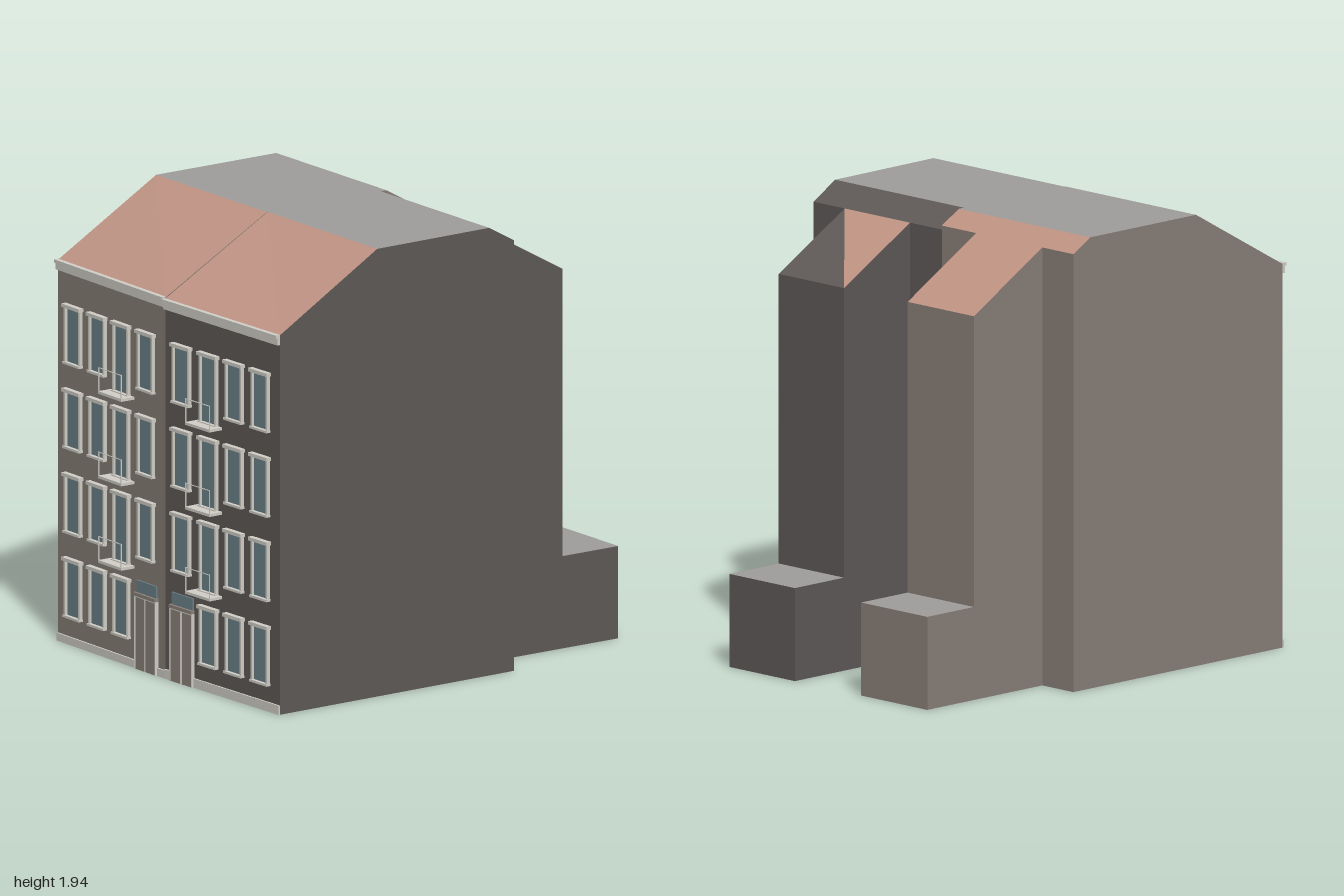
import * as THREE from 'three';

const mat = (name, color) => Object.assign(new THREE.MeshStandardMaterial({ color }), { name });

export function createModel() {
  const taupe = mat('taupe wall', 0x8a8078);
  const dark = mat('dark wall', 0x5f5a58);
  const tile = mat('salmon roof tile', 0xc09484);
  const flat = mat('grey flat roof', 0xa09e9c);
  const glass = mat('window glass', 0x6c838b);
  const trim = mat('off-white trim', 0xd2d0c8);
  const door = mat('door taupe', 0x8d837a);

  const model = new THREE.Group();
  model.name = 'terracedHouses';

  // Solid from a [z, y, zRight] profile running up the front, over the top and down the back.
  // skins holds one material (or a pair, one per triangle) for each profile edge.
  function solid(name, profile, x0, xRight, skins, capSkin) {
    const pos = [], mats = [], geo = new THREE.BufferGeometry();
    const L = profile.map(([z, y]) => [x0, y, z]);
    const R = profile.map(([z, y, zr = z]) => [xRight(z), y, zr]);
    const tri = (m, ...p) => {
      if (!mats.includes(m)) mats.push(m);
      geo.addGroup(pos.length / 3, 3, mats.indexOf(m));
      pos.push(...p.flat());
    };
    profile.forEach((_, i) => {
      const j = (i + 1) % profile.length;
      const [m, n] = [skins[i] ?? capSkin].flat().concat(skins[i] ?? capSkin);
      tri(m, L[i], R[i], L[j]);
      tri(n, R[i], R[j], L[j]);
      if (i > 0 && j > 0) {
        tri(capSkin, L[0], L[i], L[j]);
        tri(capSkin, R[0], R[j], R[i]);
      }
    });
    geo.setAttribute('position', new THREE.Float32BufferAttribute(pos, 3));
    geo.computeVertexNormals();
    const mesh = new THREE.Mesh(geo, mats);
    mesh.name = name;
    model.add(mesh);
  }

  // Main blocks: the front bends slightly at the party wall
  solid('leftHouse',
    [[0.915, 0, 0.932], [0.915, 1.65, 0.932], [0.405, 1.94], [-0.22, 1.94], [-0.32, 1.883], [-0.32, 0]],
    -0.785, () => 0, [taupe, tile, flat, tile, taupe, taupe], taupe);
  solid('rightHouse',
    [[0.932, 0, 0.912], [0.932, 1.645, 0.912], [0.4, 1.94], [-0.19, 1.94], [-0.32, 1.866], [-0.32, 0]],
    0, z => 0.766 + 0.02 * (z + 0.32) / 1.25, [dark, tile, flat, dark, dark, dark], dark);

  // Rear wings and their low annexes
  solid('leftWing', [[-0.32, 0], [-0.32, 1.883], [-0.725, 1.65], [-0.725, 0]],
    -0.6, () => -0.205, [taupe, tile, taupe, taupe], taupe);
  solid('leftAnnex', [[-0.725, 0], [-0.725, 0.4], [-1, 0.4], [-1, 0]],
    -0.6, () => -0.205, [taupe, flat, taupe, taupe], taupe);
  solid('rightWing', [[-0.32, 0], [-0.32, 1.866], [-0.71, 1.645], [-0.71, 0]],
    0.19, () => 0.58, [dark, [tile, dark], dark, dark], dark);
  solid('rightAnnex', [[-0.71, 0], [-0.71, 0.4], [-1, 0.4], [-1, 0]],
    0.19, () => 0.58, [dark, flat, dark, dark], dark);

  // Box standing on the facade plane: centre x, bottom y, back z
  function box(parent, name, m, x, y, w, h, d, z = 0) {
    const mesh = new THREE.Mesh(new THREE.BoxGeometry(w, h, d), m);
    mesh.position.set(x, y + h / 2, z + d / 2);
    mesh.name = name;
    parent.add(mesh);
  }

  function windowUnit(parent, x, y0, y1) {
    const g = new THREE.Group();
    g.name = 'window';
    const h = y1 - y0;
    box(g, 'pane', glass, x, y0, 0.1, h, 0.005);
    for (const s of [-1, 1]) box(g, 'jamb', trim, x + s * 0.052, y0, 0.01, h, 0.016);
    box(g, 'lintel', trim, x, y1 - 0.008, 0.128, 0.015, 0.024);
    box(g, 'sill', trim, x, y0 - 0.008, 0.12, 0.01, 0.022);
    parent.add(g);
  }

  function balcony(parent, x, y) {
    const g = new THREE.Group();
    g.name = 'balcony';
    box(g, 'slab', trim, x, y, 0.168, 0.012, 0.068);
    for (const s of [-1, 1]) box(g, 'post', trim, x + s * 0.082, y, 0.004, 0.115, 0.004, 0.064);
    box(g, 'rail', trim, x, y + 0.112, 0.168, 0.003, 0.004, 0.064);
    parent.add(g);
  }

  function doorway(parent, x) {
    const g = new THREE.Group();
    g.name = 'doorway';
    for (const s of [-1, 1]) {
      box(g, 'leaf', door, x + s * 0.038, 0, 0.074, 0.315, 0.012);
      box(g, 'doorEdge', trim, x + s * 0.075, 0, 0.005, 0.318, 0.016);
      box(g, 'meetingStile', trim, x + s * 0.004, 0, 0.004, 0.315, 0.014);
    }
    box(g, 'doorHead', trim, x, 0.313, 0.155, 0.006, 0.016);
    box(g, 'transomBar', door, x, 0.319, 0.155, 0.014, 0.02);
    box(g, 'transom', glass, x, 0.333, 0.145, 0.052, 0.008);
    parent.add(g);
  }

  // Facades: each hinged at the bend on x = 0
  const facades = [
    { name: 'leftFacade', s: -1, drop: 0.017, cols: [-0.665, -0.487, -0.312, -0.133], bal: 2, doorCol: 3, doorX: -0.13, dy: 0, cornice: 1.61, plinth: 0.034 },
    { name: 'rightFacade', s: 1, drop: 0.02, cols: [0.12, 0.305, 0.482, 0.66], bal: 1, doorCol: 0, doorX: 0.123, dy: -0.006, cornice: 1.602, plinth: 0.04 },
  ];
  for (const f of facades) {
    const g = new THREE.Group();
    g.name = f.name;
    g.position.z = 0.932;
    g.rotation.y = f.s * Math.atan2(f.drop, 0.785);
    for (let floor = 0; floor < 4; floor++) {
      const y0 = 0.125 + floor * 0.366 + f.dy, y1 = y0 + 0.245;
      f.cols.forEach((x, i) => {
        const hasBalcony = floor > 0 && i === f.bal;
        if (floor === 0 && i === f.doorCol) return;
        windowUnit(g, x, hasBalcony ? y0 - 0.05 : y0, y1);
        if (hasBalcony) balcony(g, x, y0 - 0.064);
      });
    }
    doorway(g, f.doorX);
    // Cornice in two steps
    box(g, 'cornice', trim, f.s * 0.393, f.cornice, 0.787, 0.043, 0.014);
    box(g, 'corniceCap', trim, f.s * 0.393, f.cornice + 0.03, 0.787, 0.014, 0.022);
    // Plinth on both sides of the door
    const a = Math.abs(f.doorX);
    for (const [p, q] of [[0, a - 0.078], [a + 0.078, 0.786]])
      box(g, 'plinth', trim, f.s * (p + q) / 2, 0, q - p, f.plinth, 0.008);
    model.add(g);
  }
  return model;
}
